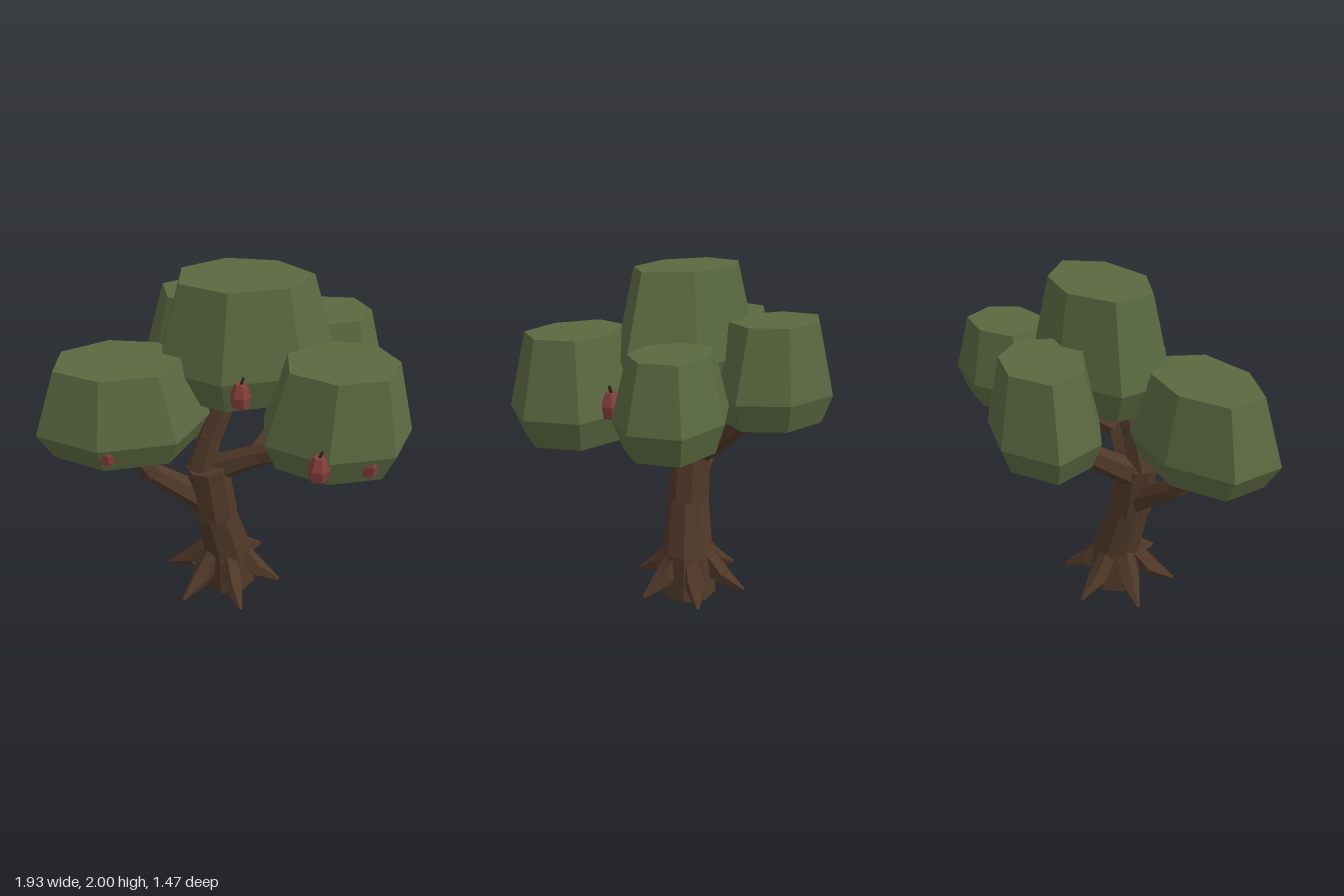
import * as THREE from 'three';

const mat = (name, color) => {
  const m = new THREE.MeshStandardMaterial({ color, flatShading: true });
  m.name = name;
  return m;
};
const V = (x, y, z) => new THREE.Vector3(x, y, z);

// Closed solid through a stack of rings (each listed clockwise seen from above)
function loft(rings) {
  const p = [];
  const tri = (...c) => c.forEach((v) => p.push(v.x, v.y, v.z));
  const mid = (r) => r.reduce((s, v) => s.add(v), V(0, 0, 0)).divideScalar(r.length);
  const n = rings[0].length, first = rings[0], last = rings[rings.length - 1];
  const c0 = mid(first), c1 = mid(last);
  for (let i = 0; i < n; i++) {
    const j = (i + 1) % n;
    for (let k = 0; k < rings.length - 1; k++) {
      const lo = rings[k], up = rings[k + 1];
      tri(lo[j], lo[i], up[i]);
      tri(lo[j], up[i], up[j]);
    }
    tri(c0, first[i], first[j]);
    tri(c1, last[j], last[i]);
  }
  const g = new THREE.BufferGeometry();
  g.setAttribute('position', new THREE.Float32BufferAttribute(p, 3));
  g.computeVertexNormals();
  return g;
}

const circle = (x, y, z, r, n) => Array.from({ length: n }, (_, i) => {
  const a = (i / n) * Math.PI * 2 + 0.3;
  return V(x + r * Math.cos(a), y, z + r * Math.sin(a));
});

export function createModel() {
  const bark = mat('bark', 0x4f3828);
  const leaf = mat('foliage', 0x5a6840);
  const red = mat('fruit skin', 0x833f3a);
  const dark = mat('fruit stem', 0x35231a);

  const tree = new THREE.Group();
  tree.name = 'tree';
  const add = (parent, name, geo, material) => {
    const m = new THREE.Mesh(geo, material);
    m.name = name;
    parent.add(m);
    return m;
  };

  // Tapered pieces following a path; the joints stay visible
  function limb(name, pts, radii, sides = 6) {
    const g = new THREE.Group();
    g.name = name;
    for (let i = 0; i < pts.length - 1; i++) {
      const a = V(...pts[i]), b = V(...pts[i + 1]);
      const d = b.clone().sub(a);
      const m = add(g, name + 'Section',
        new THREE.CylinderGeometry(radii[i][1], radii[i][0], d.length(), sides), bark);
      m.position.copy(a).add(b).multiplyScalar(0.5);
      m.quaternion.setFromUnitVectors(V(0, 1, 0), d.normalize());
    }
    tree.add(g);
  }

  // Trunk: a flared foot and a leaning upper piece
  add(tree, 'lowerTrunk', loft([
    circle(0.03, 0, 0.08, 0.172, 8),
    circle(0.02, 0.27, 0.088, 0.152, 8),
    circle(-0.053, 0.6, 0.137, 0.122, 8),
  ]), bark);
  limb('upperTrunk', [[-0.048, 0.58, 0.136], [-0.095, 0.93, 0.15]], [[0.128, 0.118]], 8);

  // Branches
  limb('leaderBranch', [[-0.13, 0.9, 0.15], [-0.07, 1.12, 0.13], [0.06, 1.44, 0.09]],
    [[0.085, 0.065], [0.07, 0.05]]);
  limb('rightBranch', [[-0.08, 0.65, 0.14], [-0.41, 0.915, 0.19], [-0.55, 1.18, 0.23]],
    [[0.09, 0.055], [0.065, 0.045]]);
  limb('leftBranch', [[-0.12, 0.85, 0.1], [0.2, 1.03, 0.21], [0.52, 1.2, 0.37]],
    [[0.09, 0.062], [0.062, 0.045]]);
  limb('leftBackBranch', [[0.16, 1.01, 0.2], [0.5, 1.27, -0.2]], [[0.055, 0.042]]);
  limb('backBranch', [[-0.1, 0.86, 0.12], [-0.07, 1.25, -0.38]], [[0.085, 0.05]]);

  // Roots: six spikes spread evenly around the foot
  for (let i = 0; i < 6; i++) {
    const a = Math.PI / 4 + (i * Math.PI) / 3;
    const at = (r, y) => [r * Math.cos(a), y, 0.09 - r * Math.sin(a)];
    limb('root', [at(0.08, 0.28), at(0.2, 0.13), at(0.355, 0.05)],
      [[0.055, 0.062], [0.064, 0.01]], 5);
  }

  // Canopies: an outline at the widest height, drawn in above and below
  const canopies = [
    ['topCanopy', [1.36, 1.545, 2], [[-0.005, -0.316], [0.37, -0.25], [0.606, 0.02],
      [0.4, 0.27], [-0.02, 0.347], [-0.347, 0.17], [-0.33, -0.135]]],
    ['backCanopy', [1.206, 1.36, 1.735], [[-0.16, -0.735], [0.14, -0.66], [0.295, -0.43],
      [0.19, -0.2], [-0.11, -0.13], [-0.39, -0.295], [-0.44, -0.57]]],
    ['rightCanopy', [1.14, 1.29, 1.64], [[-0.63, -0.083], [-0.27, -0.04], [-0.075, 0.18],
      [-0.245, 0.475], [-0.64, 0.54], [-0.968, 0.38], [-0.95, 0.09]]],
    ['leftCanopy', [1.14, 1.3, 1.69], [[0.55, 0.06], [0.84, 0.12], [0.963, 0.385],
      [0.825, 0.64], [0.487, 0.69], [0.19, 0.52], [0.21, 0.23]]],
    ['leftBackCanopy', [1.206, 1.355, 1.67], [[0.545, -0.54], [0.835, -0.51], [0.933, -0.275],
      [0.8, -0.062], [0.525, -0.01], [0.32, -0.16], [0.295, -0.39]]],
  ];
  for (const [name, ys, outline] of canopies) {
    const cx = outline.reduce((s, p) => s + p[0], 0) / outline.length;
    const cz = outline.reduce((s, p) => s + p[1], 0) / outline.length;
    const rings = [0.83, 1, 0.72].map((s, k) =>
      outline.map(([x, z]) => V(cx + (x - cx) * s, ys[k], cz + (z - cz) * s)));
    add(tree, name, loft(rings), leaf);
  }

  // Hanging fruit: six-sided bells with a short leaning stem
  const body = loft([circle(0, 0, 0, 0.047, 6), circle(0, 0.06, 0, 0.055, 6),
    circle(0, 0.125, 0, 0.03, 6)]);
  const stemGeo = new THREE.CylinderGeometry(0.007, 0.009, 0.05, 5);
  for (const [x, y, z] of [[0.075, 1.46, 0.39], [0.44, 1.22, 0.685], [0.705, 1.19, 0.605],
    [-0.6, 1.2, 0.48], [0.74, 1.34, -0.01]]) {
    const f = new THREE.Group();
    f.name = 'fruit';
    add(f, 'fruitBody', body, red);
    const stem = add(f, 'fruitStem', stemGeo, dark);
    stem.position.set(0.005, 0.135, 0);
    stem.rotation.z = -0.3;
    f.position.set(x, y, z);
    tree.add(f);
  }
  return tree;
}
